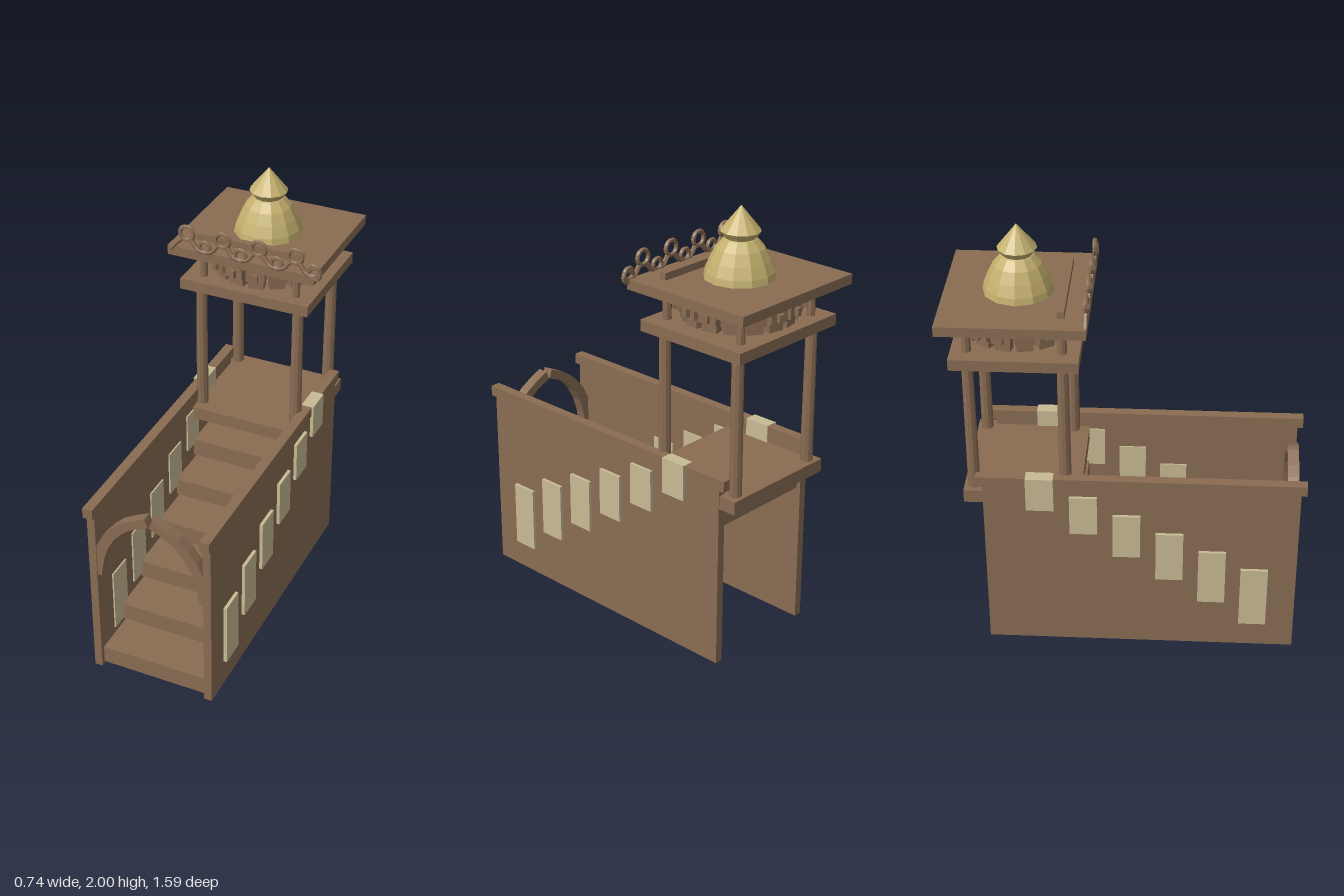
import * as THREE from 'three';

export function createModel() {
  const model = new THREE.Group();
  const mat = (name, color, opts = {}) => {
    const m = new THREE.MeshStandardMaterial({ color, ...opts });
    m.name = name;
    return m;
  };
  const wood = mat('brown wood', 0x896c52, { flatShading: true });
  const gold = mat('gold', 0xc4b06e, { flatShading: true });
  const cream = mat('cream panel', 0xc8ba94, { flatShading: true });

  const CX = -0.016; // plane of symmetry
  const CZ = -0.475; // centre of the pavilion

  const add = (name, geo, material, parent = model) => {
    const mesh = new THREE.Mesh(geo, material);
    mesh.name = name;
    parent.add(mesh);
    return mesh;
  };
  // Box given by its limits on each axis
  const box = (name, x0, x1, y0, y1, z0, z1, material = wood) => {
    const m = add(name, new THREE.BoxGeometry(x1 - x0, y1 - y0, z1 - z0), material);
    m.position.set((x0 + x1) / 2, (y0 + y1) / 2, (z0 + z1) / 2);
    return m;
  };
  // Box on one side, limits measured outwards from the plane of symmetry
  const sideBox = (name, s, a, b, ...rest) =>
    box(name, Math.min(CX + s * a, CX + s * b), Math.max(CX + s * a, CX + s * b), ...rest);

  // Side walls, rails and the climbing row of panels
  for (const s of [-1, 1]) {
    sideBox('wall', s, 0.256, 0.293, 0, 0.857, -0.637, 0.772);
    sideBox('rail', s, 0.251, 0.298, 0.855, 0.904, -0.667, 0.797);
    for (let i = 0; i < 6; i++) {
      const z = 0.582 - i * 0.193;
      sideBox('windowPanel', s, 0.249, 0.308, 0.13 + i * 0.122, 0.44 + i * 0.0935, z - 0.062, z + 0.062, cream);
    }
  }

  // Stairs: overlapping blocks with narrow gaps between them
  for (let i = 0; i < 7; i++) {
    const z = 0.75 - i * 0.191, y = 0.01 + i * 0.108;
    box('step', CX - 0.257, CX + 0.257, y, y + 0.086, z - 0.221, z);
  }

  // Landing
  box('landing', CX - 0.29, CX + 0.29, 0.765, 0.826, -0.722, -0.2);

  // Entrance arch: two curved halves with a notch at the crown
  for (const s of [-1, 1]) {
    const outer = [[0.26, 0.535], [0.257, 0.69], [0.225, 0.755], [0.185, 0.805], [0.14, 0.848], [0.09, 0.878], [0.017, 0.913]];
    const inner = [[0.002, 0.872], [0.075, 0.84], [0.125, 0.803], [0.165, 0.757], [0.2, 0.695], [0.222, 0.625], [0.237, 0.535]];
    const pts = [...outer, ...inner].map(([x, y]) => new THREE.Vector2(s * x, y));
    const geo = new THREE.ExtrudeGeometry(new THREE.Shape(pts), { depth: 0.05, bevelEnabled: false });
    add('archHalf', geo, wood).position.set(CX, 0, 0.717);
  }

  // Pavilion columns, with short posts above the lower slab
  for (const sx of [-1, 1]) {
    for (const sz of [-1, 1]) {
      const c = add('column', new THREE.CylinderGeometry(0.025, 0.028, 0.64, 10), wood);
      c.position.set(CX + sx * 0.237, 1.145, CZ + sz * 0.204);
      const p = add('upperPost', new THREE.CylinderGeometry(0.018, 0.02, 0.15, 8), wood);
      p.position.set(CX + sx * 0.225, 1.578, CZ + sz * 0.204);
    }
  }

  // Slabs
  box('lowerSlab', CX - 0.31, CX + 0.31, 1.459, 1.51, -0.75, -0.197);
  box('roofSlab', CX - 0.349, CX + 0.349, 1.645, 1.69, -0.795, -0.16);
  box('roofBar', CX - 0.253, CX + 0.253, 1.685, 1.722, -0.288, -0.257);

  // Rings of bracket blocks under the roof
  const ringOfBlocks = (name, count, r, y, w, h, d) => {
    const ring = new THREE.Group();
    ring.name = name;
    for (let i = 0; i < count; i++) {
      const a = ((i + 0.5) / count) * Math.PI * 2;
      const b = add('bracketBlock', new THREE.BoxGeometry(w, h, d), wood, ring);
      b.position.set(Math.sin(a) * r, y, Math.cos(a) * r);
      b.rotation.y = a;
    }
    ring.position.set(CX, 0, CZ);
    model.add(ring);
  };
  ringOfBlocks('lowerBracketRing', 16, 0.225, 1.543, 0.07, 0.042, 0.045);
  ringOfBlocks('middleBracketRing', 16, 0.245, 1.588, 0.085, 0.048, 0.045);
  ringOfBlocks('bracketKnobs', 16, 0.272, 1.59, 0.028, 0.035, 0.03);
  ringOfBlocks('upperBracketRing', 16, 0.25, 1.63, 0.08, 0.036, 0.04);

  // Ornamental chain along the roof front: loops joined by hanging arcs
  const CHZ = -0.165;
  const loop = (x, y, R) => {
    add('chainLoop', new THREE.TorusGeometry(R, 0.01, 6, 14), wood).position.set(x, y, CHZ);
  };
  const hang = (x0, y0, xm, ym, x1, y1) => {
    const curve = new THREE.CatmullRomCurve3([[x0, y0], [xm, ym], [x1, y1]].map(([x, y]) => new THREE.Vector3(x, y, CHZ)));
    add('chainArc', new THREE.TubeGeometry(curve, 8, 0.011, 6), wood);
  };
  for (let i = 0; i < 4; i++) {
    const x = -0.272 + i * 0.172;
    loop(x, 1.765, 0.033);
    loop(x + 0.086, 1.714, 0.025);
    hang(x + 0.02, 1.738, x + 0.05, 1.7, x + 0.086, 1.689);
    if (i) hang(x - 0.086, 1.689, x - 0.05, 1.7, x - 0.02, 1.738);
  }
  hang(-0.352, 1.672, -0.325, 1.705, -0.292, 1.738);
  loop(0.334, 1.702, 0.026);

  // Dome with neck and pointed finial
  const profile = [[0.156, 1.685], [0.15, 1.72], [0.13, 1.77], [0.105, 1.82], [0.072, 1.858], [0.066, 1.862], [0.087, 1.892], [0, 2.0]];
  const dome = add('dome', new THREE.LatheGeometry(profile.map(([r, y]) => new THREE.Vector2(r, y)), 12), gold);
  dome.position.set(CX, 0, CZ);

  return model;
}
